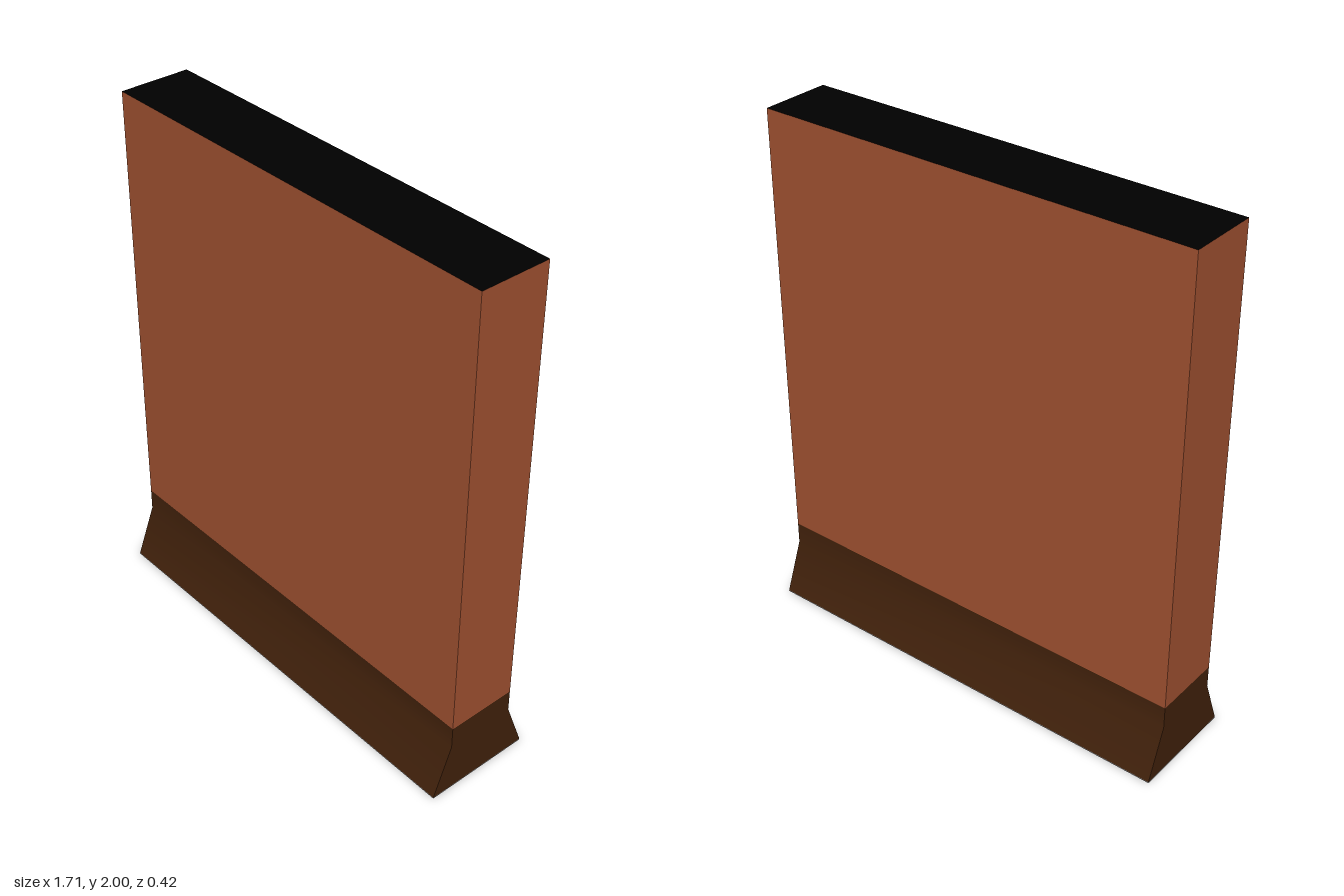
import * as THREE from 'three';
import { toCreasedNormals } from 'three/addons/utils/BufferGeometryUtils.js';

const WIDTH = 1.714, HEIGHT = 2;
const WALL_HALF = 0.137, FOOT_HALF = 0.212;   // half depths
const FLARE_TOP = 0.2, BASE_TOP = 0.286, SOLE = 0.004;

function material(name, color) {
  const m = new THREE.MeshStandardMaterial({ color });
  m.name = name;
  return m;
}

function addMesh(group, name, geometry, mat, y = 0) {
  const mesh = new THREE.Mesh(geometry, mat);
  mesh.name = name;
  mesh.position.y = y;
  group.add(mesh);
}

export function createModel() {
  const group = new THREE.Group();
  group.name = 'wallSection';
  const clay = material('clay', 0xa05131);
  const darkBrown = material('darkBrown', 0x41210b);
  const black = material('black', 0x000000);
  const grey = material('grey', 0x808080);

  // Upright panel with a black top face
  const panelHeight = HEIGHT - BASE_TOP;
  addMesh(group, 'panel', new THREE.BoxGeometry(WIDTH, panelHeight, WALL_HALF * 2),
    [clay, clay, black, clay, clay, clay], BASE_TOP + panelHeight / 2);

  // Flared base: one cross-section swept along the width, soft at the bend
  const profile = new THREE.Shape([
    [-FOOT_HALF, SOLE], [FOOT_HALF, SOLE], [WALL_HALF, FLARE_TOP],
    [WALL_HALF, BASE_TOP], [-WALL_HALF, BASE_TOP], [-WALL_HALF, FLARE_TOP],
  ].map(([z, y]) => new THREE.Vector2(z, y)));
  const base = new THREE.ExtrudeGeometry(profile, { depth: WIDTH, bevelEnabled: false });
  base.translate(0, 0, -WIDTH / 2).rotateY(Math.PI / 2);
  addMesh(group, 'base', toCreasedNormals(base, 0.6), darkBrown);

  // Grey underside
  addMesh(group, 'sole', new THREE.BoxGeometry(WIDTH, SOLE, FOOT_HALF * 2), grey, SOLE / 2);

  return group;
}
